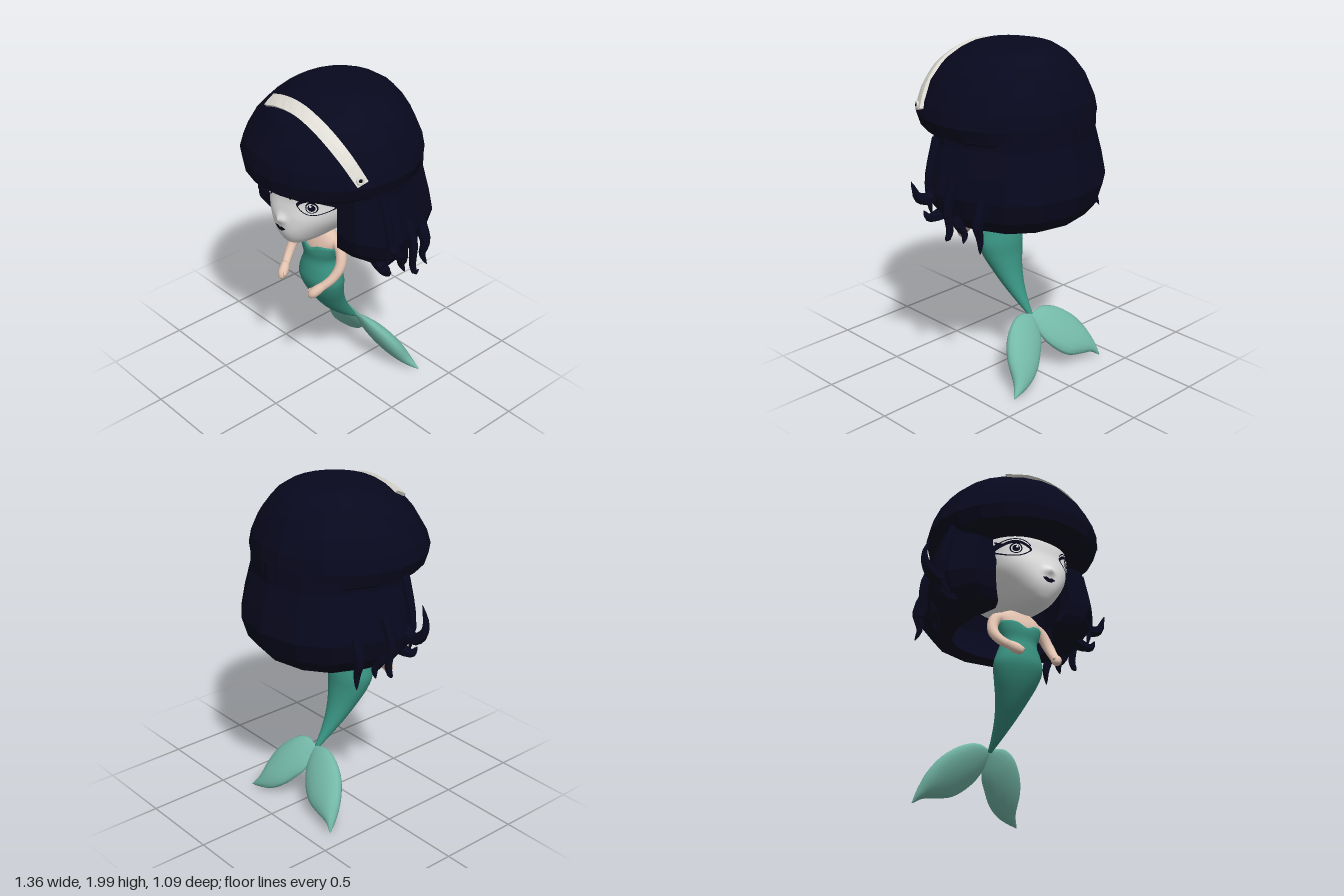
import * as THREE from 'three';

const V = (x, y, z) => new THREE.Vector3(x, y, z);
const mat = (name, color, side = THREE.FrontSide) => {
  const m = new THREE.MeshStandardMaterial({ color, side });
  m.name = name;
  return m;
};

// Surface through a list of equal-length closed rings, with end caps
function skin(rings, flat = false, caps = true) {
  const n = rings[0].length, pos = [], idx = [];
  rings.forEach(r => r.forEach(p => pos.push(p.x, p.y, p.z)));
  for (let j = 0; j < rings.length - 1; j++)
    for (let i = 0; i < n; i++) {
      const a = j * n + i, b = j * n + (i + 1) % n;
      idx.push(a, a + n, b, b, a + n, b + n);
    }
  if (caps) [0, rings.length - 1].forEach((j, top) => {
    const c = V(0, 0, 0);
    rings[j].forEach(p => c.addScaledVector(p, 1 / n));
    const k = pos.length / 3;
    pos.push(c.x, c.y, c.z);
    for (let i = 0; i < n; i++) {
      const a = j * n + i, b = j * n + (i + 1) % n;
      idx.push(k, top ? b : a, top ? a : b);
    }
  });
  let g = new THREE.BufferGeometry();
  g.setAttribute('position', new THREE.Float32BufferAttribute(pos, 3));
  g.setIndex(idx);
  if (flat) g = g.toNonIndexed();
  g.computeVertexNormals();
  return g;
}

// Rows are [y, centre z, half width, half depth]; the sampler smooths between them
const CX = -0.015;
function sampler(rows) {
  const f = new THREE.CubicInterpolant(rows.map(r => r[0]), rows.flatMap(r => r.slice(1)), 3);
  return y => Array.from(f.evaluate(y));
}
const spow = (v, e) => Math.sign(v) * Math.abs(v) ** e;
function ringAt(y, [cz, rx, rz], n, p = 2, cx = CX) {
  return Array.from({ length: n }, (_, i) => {
    const a = i / n * Math.PI * 2;
    return V(cx + rx * spow(Math.cos(a), 2 / p), y, cz + rz * spow(Math.sin(a), 2 / p));
  });
}
function loft(rows, n, steps, p = 2) {
  const s = sampler(rows), y0 = rows[0][0], y1 = rows[rows.length - 1][0];
  return skin(Array.from({ length: steps + 1 }, (_, j) => {
    const y = y0 + (y1 - y0) * j / steps;
    return ringAt(y, s(y), n, p);
  }));
}
// Moves each vertex by a rule that edits the vector in place
function reshape(g, rule) {
  const p = g.attributes.position, v = V(0, 0, 0);
  for (let i = 0; i < p.count; i++) {
    rule(v.fromBufferAttribute(p, i));
    p.setXYZ(i, v.x, v.y, v.z);
  }
  g.computeVertexNormals();
  return g;
}

// Tube along a curve whose radius follows a function of t
function tube(points, radius, n = 8, steps = 12, flat = false) {
  const c = new THREE.CatmullRomCurve3(points.map(p => V(...p)));
  return skin(Array.from({ length: steps + 1 }, (_, j) => {
    const t = j / steps, o = c.getPoint(t), d = c.getTangent(t), r = radius(t);
    const u = V(0.1, 0.05, 1).cross(d).normalize(), v = u.clone().cross(d);
    return Array.from({ length: n }, (_, i) => {
      const a = i / n * Math.PI * 2;
      return o.clone().addScaledVector(u, r * Math.cos(a)).addScaledVector(v, r * Math.sin(a));
    });
  }), flat);
}

const HEAD = [[1.1, 0.25, 0.035, 0.08], [1.115, 0.22, 0.075, 0.14], [1.14, 0.18, 0.113, 0.2], [1.2, 0.12, 0.172, 0.285],
  [1.3, 0.09, 0.245, 0.315], [1.4, 0.075, 0.279, 0.31], [1.5, 0.07, 0.283, 0.305], [1.6, 0.06, 0.25, 0.27]];
const CAP = [[1.488, 0.01, 0.43, 0.465], [1.54, 0.03, 0.495, 0.51], [1.62, 0.035, 0.525, 0.515], [1.7, 0.03, 0.5, 0.5],
  [1.8, 0.02, 0.45, 0.45], [1.88, 0.01, 0.38, 0.395], [1.94, -0.01, 0.315, 0.325], [1.98, -0.015, 0.25, 0.26], [2, -0.02, 0.17, 0.2]];

export function createModel() {
  const model = new THREE.Group();
  const hair = mat('midnight hair', 0x08081e), ink = mat('dark ink', 0x08081c, THREE.DoubleSide);
  const face = mat('pale face', 0xe4e4e4), eyeWhite = mat('eye white', 0xe8e8e8, THREE.DoubleSide);
  const skinTone = mat('skin', 0xe2c2b0), teal = mat('teal tail', 0x37907f), finMat = mat('light teal fin', 0x74b9a8);
  const bandMat = mat('ivory band', 0xdedcd4);
  const add = (name, g, m) => {
    const mesh = new THREE.Mesh(g, m);
    mesh.name = name;
    model.add(mesh);
    return mesh;
  };

  // Head with a small soft nose
  add('head', reshape(loft(HEAD, 80, 50, 2.4), v => {
    if (v.z > 0.2) v.z += 0.03 * Math.exp(-(((v.x - CX) / 0.03) ** 2) - ((v.y - 1.283) / 0.025) ** 2);
  }), face);

  // Painted face details, wrapped onto the head
  const headAt = sampler(HEAD);
  const decal = (name, g, x, y, sx, sy, lift, m) => add(name, reshape(g, v => {
    const py = y + v.y * sy, [cz, rx, rz] = headAt(py);
    const dx = THREE.MathUtils.clamp(x + v.x * sx, -rx * 0.99, rx * 0.99);
    const dz = rz * (1 - Math.abs(dx / rx) ** 2.4) ** (1 / 2.4);
    v.set(CX + dx * (1 + lift), py, cz + dz * (1 + lift));
  }), m);
  const disc = () => new THREE.RingGeometry(0, 1, 28, 4);
  const almond = () => reshape(disc(), v => { v.y *= 1 - 0.45 * Math.abs(v.x) ** 2; });
  const poly = pts => new THREE.ShapeGeometry(new THREE.Shape(pts.map(p => new THREE.Vector2(...p))));
  for (const s of [-1, 1]) {
    const x = s * 0.183;
    decal('eyeOutline', almond(), x, 1.407, 0.086, 0.053, 0.014, ink);
    decal('eyeWhite', almond(), x, 1.4, 0.072, 0.04, 0.019, eyeWhite);
    decal('iris', disc(), x - s * 0.003, 1.406, 0.029, 0.035, 0.023, ink);
    decal('irisLight', new THREE.RingGeometry(0.6, 0.8, 24, 2), x - s * 0.003, 1.404, 0.029, 0.035, 0.027, eyeWhite);
    decal('glint', disc(), x - s * 0.008, 1.414, 0.006, 0.008, 0.029, eyeWhite);
    decal('eyelidLine', new THREE.RingGeometry(0.94, 1.03, 24, 1, 0.35, 2.4), x, 1.405, 0.085, 0.064, 0.017, ink);
    for (const [lx, ly] of [[0.09, 0.026], [0.088, 0.043], [0.078, 0.058]])
      decal('eyelash', poly([[0.045, 0.034], [0.066, 0.014], [lx, ly]]), x, 1.405, s, 1, 0.019, ink);
  }
  decal('lips', poly([[-0.045, 0.006], [-0.018, 0.013], [0, 0.007], [0.018, 0.013], [0.045, 0.006], [0.014, -0.016], [-0.014, -0.016]]),
    -0.003, 1.225, 1, 1, 0.02, ink);

  // Upper hair with a toothed fringe
  add('hairCap', skin(CAP.map(r => ringAt(r[0], r.slice(1), 22, 2, 0)), true), hair);
  for (const x of [-0.2, -0.14, -0.07, -0.02, 0.04, 0.11, 0.17, 0.23]) {
    const tooth = add('fringeTooth', new THREE.ConeGeometry(0.036, 0.06, 5), hair);
    tooth.rotation.x = Math.PI;
    tooth.position.set(x, 1.5, 0.01 + 0.445 * Math.sqrt(1 - (x / 0.43) ** 2));
  }

  // Lower hair: a thick shell open at the face
  const mirror = h => [...h.slice(1).reverse().map(([x, z]) => [-x, z]), ...h];
  const outer = mirror([[0, -0.54], [0.24, -0.49], [0.4, -0.37], [0.5, -0.15], [0.55, 0.02], [0.53, 0.14], [0.42, 0.24], [0.27, 0.24]]);
  const inner = mirror([[0, -0.4], [0.18, -0.37], [0.3, -0.28], [0.37, -0.12], [0.38, 0], [0.35, 0.07], [0.3, 0.12], [0.25, 0.18]]);
  const loop = [...outer, ...inner.reverse()];
  const shell = [[1.03, 0.8, 1], [1.02, 0.83, 0], [1.1, 0.95, 0], [1.22, 1.015, 0], [1.35, 0.97, 0], [1.5, 0.9, 0], [1.62, 0.895, 0], [1.66, 0.85, 1]];
  add('hairSides', skin(shell.map(([y, k, pinch]) => loop.map(([x, z], i) => {
    const q = loop[loop.length - 1 - i];
    const px = pinch ? (x + q[0]) / 2 : x, pz = pinch ? (z + q[1]) / 2 : z;
    return V(px * k, y + Math.max(0, pz) * Math.max(0, 1.3 - y) * 1.4, pz * k);
  })), true, false), hair);

  // Loose locks and flicked curls
  const lock = (pts, r) => add('hairLock', tube(pts, t => r * (1 - t) ** 0.7 + 0.002, 6, 10, true), hair);
  lock([[-0.46, 1.3, 0.08], [-0.57, 1.2, 0.08], [-0.64, 1.24, 0.09], [-0.665, 1.32, 0.09], [-0.632, 1.42, 0.09]], 0.045);
  lock([[0.46, 1.26, 0.08], [0.56, 1.19, 0.08], [0.63, 1.21, 0.09], [0.65, 1.25, 0.09], [0.67, 1.31, 0.1]], 0.045);
  for (const s of [-1, 1]) {
    const dy = s < 0 ? 0.03 : 0;
    const side = (pts, r) => lock(pts.map(([x, y, z]) => [s * x, y + dy, z]), r);
    side([[0.5, 1.32, -0.07], [0.56, 1.18, -0.07], [0.55, 1.04, -0.08], [0.57, 0.99, -0.08], [0.59, 1.02, -0.09]], 0.032);
    side([[0.44, 1.22, -0.23], [0.49, 1.1, -0.24], [0.47, 1, -0.24], [0.49, 0.93, -0.26]], 0.04);
    side([[0.42, 1.2, -0.06], [0.48, 1.06, -0.07], [0.45, 0.99, -0.09], [0.47, 0.94, -0.1]], 0.042);
    side([[0.36, 1.14, 0.06], [0.46, 1.07, 0.09], [0.54, 1.06, 0.11], [0.56, 1.1, 0.13]], 0.05);
    side([[0.47, 1.52, 0.1], [0.54, 1.3, 0.1], [0.54, 1.15, 0.1], [0.5, 1.06, 0.13]], 0.03);
  }

  // Headband resting on the hair
  const capAt = sampler(CAP), centre = V(0, 1.6, 0.03);
  const onCap = (p, lift) => {
    const d = p.clone().sub(centre);
    let t = 0.7;
    for (; t < 1.4; t += 0.004) {
      const q = centre.clone().addScaledVector(d, t);
      if (q.y >= 1.99) break;
      const [cz, rx, rz] = capAt(q.y);
      if ((q.x / rx) ** 2 + ((q.z - cz) / rz) ** 2 > 1) break;
    }
    return centre.clone().addScaledVector(d, t).addScaledVector(d.normalize(), lift);
  };
  const path = new THREE.CatmullRomCurve3([V(-0.225, 1.92, 0.31), V(-0.1, 1.95, 0.315), V(0.05, 1.95, 0.315), V(0.2, 1.89, 0.3),
    V(0.34, 1.78, 0.27), V(0.45, 1.65, 0.235)]);
  add('headband', skin(Array.from({ length: 25 }, (_, j) => {
    const p = path.getPoint(j / 24), w = V(0, -0.015, 0.043).multiplyScalar(1 - 0.25 * j / 24);
    const a = p.clone().sub(w), b = p.clone().add(w);
    return [onCap(b, -0.01), onCap(b, 0.014), onCap(p, 0.015), onCap(a, 0.014), onCap(a, -0.01)];
  }), true), bandMat);
  const end = onCap(path.getPoint(0.97), 0.018), out = end.clone().sub(centre).normalize();
  const button = add('bandButton', new THREE.TorusGeometry(0.017, 0.008, 8, 16), bandMat);
  const hole = add('buttonCentre', new THREE.SphereGeometry(0.011, 10, 8), ink);
  button.position.copy(end);
  button.quaternion.setFromUnitVectors(V(0, 0, 1), out);
  hole.position.copy(end);

  // Neck, shoulders and arms
  add('neckAndShoulders', loft([[0.95, 0.115, 0.1, 0.07], [1, 0.12, 0.128, 0.074], [1.03, 0.118, 0.142, 0.072], [1.07, 0.112, 0.15, 0.064],
    [1.1, 0.108, 0.12, 0.056], [1.13, 0.105, 0.062, 0.05], [1.17, 0.105, 0.05, 0.048], [1.26, 0.105, 0.05, 0.048]], 28, 24), skinTone);
  for (const s of [-1, 1]) {
    const at = ([x, y, z]) => [CX + s * x, y, z];
    add('arm', tube([[0.1, 1.065, 0.105], [0.165, 1.04, 0.11], [0.203, 0.95, 0.14], [0.195, 0.88, 0.19], [0.155, 0.815, 0.265]].map(at),
      t => 0.039 - 0.015 * t, 12, 18), skinTone);
    add('hand', tube([[0.168, 0.835, 0.244], [0.143, 0.8, 0.286], [0.126, 0.772, 0.318]].map(at),
      t => (0.024 + 0.007 * Math.sin(Math.PI * t)) * Math.sqrt(1 - 0.85 * t ** 6), 12, 12), skinTone);
    add('thumb', tube([[0.145, 0.81, 0.28], [0.118, 0.808, 0.295], [0.106, 0.795, 0.308]].map(at), t => 0.014 - 0.006 * t, 8, 5), skinTone);
  }

  // Bodice and tail in one piece, with a sweetheart neckline
  add('bodiceAndTail', reshape(loft([[0.34, -0.165, 0.012, 0.015], [0.4, -0.1, 0.028, 0.04], [0.5, -0.012, 0.062, 0.068], [0.6, 0.05, 0.1, 0.088],
    [0.7, 0.092, 0.14, 0.105], [0.78, 0.11, 0.158, 0.113], [0.85, 0.115, 0.14, 0.1], [0.92, 0.115, 0.117, 0.085],
    [0.98, 0.12, 0.135, 0.085], [1.03, 0.12, 0.15, 0.08]], 36, 40), v => {
    if (v.y > 1 && v.z > 0.12) v.y -= 0.03 * Math.exp(-(((v.x - CX) / 0.045) ** 2));
  }), teal);

  // Tail fins: leaf blades between paired upper and lower edge points
  const fin = (name, pairs) => {
    const plane = (x, y) => V(x, y, -0.162 - (0.36 - y) * 0.63);
    const up = new THREE.CatmullRomCurve3(pairs.map(p => plane(p[0], p[1])));
    const low = new THREE.CatmullRomCurve3(pairs.map(p => plane(p[2], p[3])));
    const last = pairs[pairs.length - 1], d = plane(last[0], last[1]).sub(plane(pairs[0][0], pairs[0][1]));
    add(name, skin(Array.from({ length: 25 }, (_, j) => {
      const t = j / 24, a = up.getPoint(t), b = low.getPoint(t), m = a.clone().add(b).multiplyScalar(0.5);
      const u = a.clone().sub(b).multiplyScalar(0.5), v = u.clone().cross(d).normalize().multiplyScalar(0.004 + 0.048 * Math.sin(Math.PI * t));
      return Array.from({ length: 16 }, (_, i) => {
        const r = i / 16 * Math.PI * 2;
        return m.clone().addScaledVector(u, Math.cos(r)).addScaledVector(v, Math.sin(r));
      });
    })), finMat);
  };
  fin('rightFin', [[-0.005, 0.355, -0.005, 0.335], [-0.1, 0.375, -0.02, 0.24], [-0.2, 0.35, -0.07, 0.16], [-0.3, 0.28, -0.16, 0.09],
    [-0.365, 0.18, -0.27, 0.065], [-0.39, 0.09, -0.35, 0.05], [-0.4, 0.022, -0.395, 0.02]]);
  fin('leftFin', [[-0.025, 0.355, -0.025, 0.335], [0.07, 0.378, -0.01, 0.22], [0.15, 0.355, 0.04, 0.155], [0.23, 0.285, 0.11, 0.085],
    [0.28, 0.19, 0.19, 0.04], [0.3, 0.08, 0.27, 0.018], [0.345, 0.01, 0.34, 0.006]]);
  return model;
}
